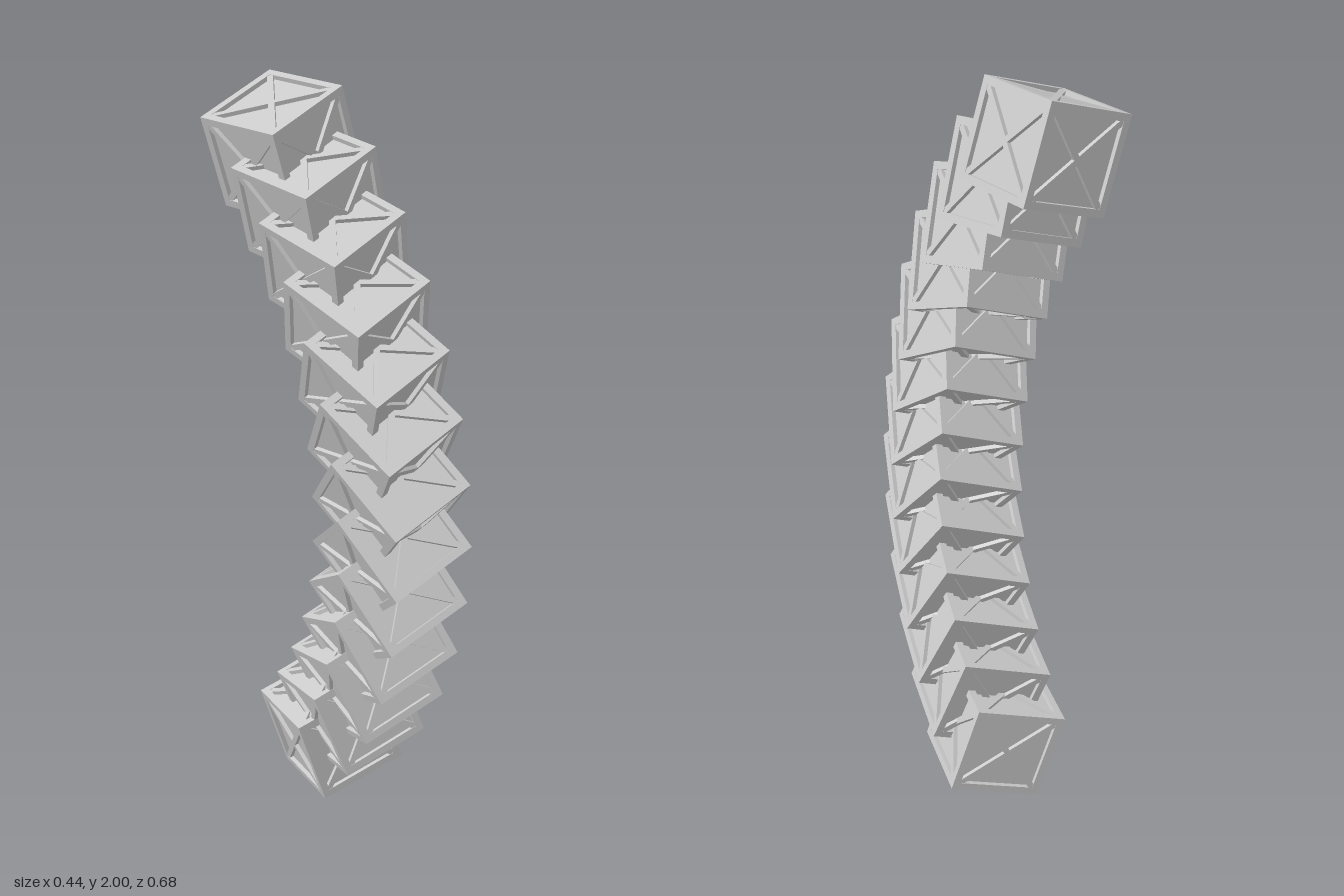
import * as THREE from 'three';

const COUNT = 13;        // cells in the chain
const SIZE = 0.254;      // outer width of one cell
const BAR = 0.02;        // strut thickness
const TILT = THREE.MathUtils.degToRad(18);
const TURN = THREE.MathUtils.degToRad(83);
const ARC = Math.PI / 4; // half of the angle swept by the chain

// chain path: first and last centre, and the sideways bow between them
const TOP = new THREE.Vector3(-0.05, 1.84, -0.2125);
const BOTTOM = new THREE.Vector3(0.028, 0.166, -0.135);
const BOW = new THREE.Vector3(-0.1, 0, 1.09);
// axis the cells turn about, in the frame of the top cell
const AXIS = new THREE.Vector3(0.97, -0.185, 0.155).normalize();

const material = new THREE.MeshStandardMaterial({ color: 0xcccccc, flatShading: true });
const barGeometry = new THREE.BoxGeometry(1, 1, 1);

// Square bar lying along x, turned about z in its own plane
function addBar(parent, name, length, width, depth, angle = 0) {
  const bar = new THREE.Mesh(barGeometry, material);
  bar.name = name;
  bar.scale.set(length, width, depth);
  bar.rotation.z = angle;
  parent.add(bar);
  return bar;
}

// One cube: recessed panels, edge frame and a cross brace on every side
function makeCell() {
  const cell = new THREE.Group();
  const half = (SIZE - BAR) / 2;

  const core = new THREE.Mesh(barGeometry, material);
  core.name = 'recessedPanels';
  core.scale.setScalar(SIZE - BAR * 1.2);
  cell.add(core);

  // four parallel edges for each axis
  for (const turn of [[0, 0, 0], [0, 0, Math.PI / 2], [0, Math.PI / 2, 0]]) {
    const edges = new THREE.Group();
    edges.name = 'edgeFrame';
    edges.rotation.set(...turn);
    for (const a of [-1, 1]) for (const b of [-1, 1]) {
      addBar(edges, 'edgeStrut', SIZE, BAR, BAR).position.set(0, a * half, b * half);
    }
    cell.add(edges);
  }

  // crossed diagonals on the six sides
  const sides = [[0, 0], [0, 1], [0, 2], [0, 3], [1, 0], [-1, 0]];
  for (const [rx, ry] of sides) {
    const side = new THREE.Group();
    side.name = 'crossBrace';
    side.rotation.set(rx * Math.PI / 2, ry * Math.PI / 2, 0);
    for (const s of [-1, 1]) {
      const brace = addBar(side, 'diagonalStrut', half * 2 * Math.SQRT2, BAR * 0.8, BAR * 0.9, s * Math.PI / 4);
      brace.position.z = half;
    }
    cell.add(side);
  }
  return cell;
}

export function createModel() {
  const model = new THREE.Group();
  model.name = 'curvedTrussColumn';
  const tilt = new THREE.Quaternion().setFromAxisAngle(new THREE.Vector3(0, 0, 1), TILT);

  // cells run from the top down along a bowed path, each turned a little further
  for (let i = 0; i < COUNT; i++) {
    const t = i / (COUNT - 1);
    const a = ARC * (1 - 2 * t);
    const cell = makeCell();
    cell.name = 'trussCell' + (i + 1);
    cell.position
      .lerpVectors(BOTTOM, TOP, 0.5 + 0.5 * Math.sin(a) / Math.sin(ARC))
      .addScaledVector(BOW, Math.cos(a) - Math.cos(ARC));
    const turn = new THREE.Quaternion().setFromAxisAngle(AXIS, TURN * t);
    cell.quaternion.multiplyQuaternions(tilt, turn);
    model.add(cell);
  }
  return model;
}
